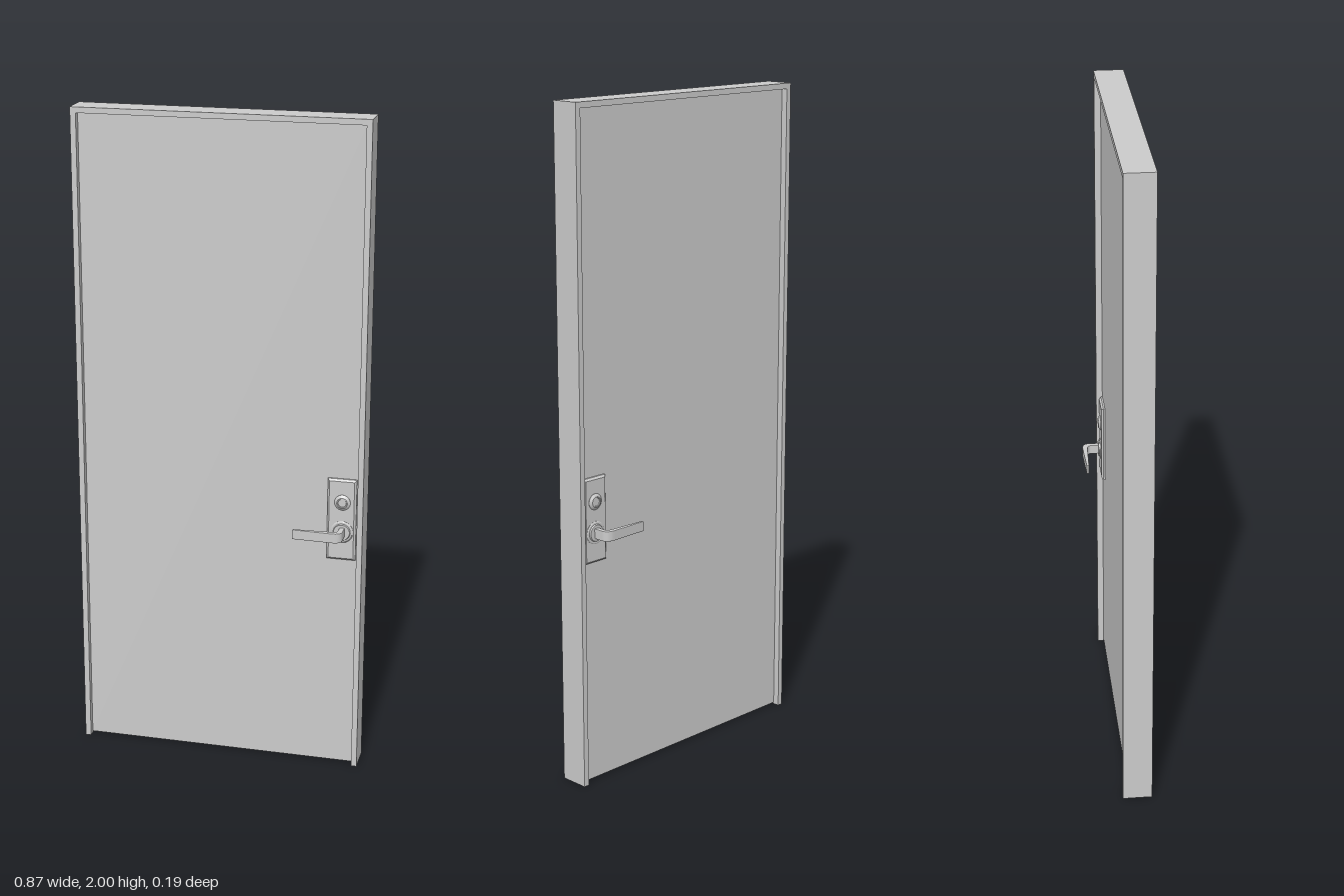
import * as THREE from 'three';

const material = new THREE.MeshStandardMaterial({ color: 0xcccccc });
const HALF_W = 0.437, HALF_D = 0.0445, JAMB = 0.017;
const PANEL_Z = 0.025, KNOB_X = 0.374;

function mesh(name, geometry, x = 0, y = 0, z = 0) {
  const m = new THREE.Mesh(geometry, material);
  m.name = name;
  m.position.set(x, y, z);
  return m;
}

// Box given by its lower and upper corners
function block(name, [x0, y0, z0], [x1, y1, z1]) {
  const g = new THREE.BoxGeometry(x1 - x0, y1 - y0, z1 - z0);
  return mesh(name, g, (x0 + x1) / 2, (y0 + y1) / 2, (z0 + z1) / 2);
}

// Round part turned from [radius, depth] pairs, its axis along z, with crisp steps
function turned(points) {
  const g = new THREE.LatheGeometry(points.map(([r, d]) => new THREE.Vector2(r, d)), 32);
  return g.rotateX(Math.PI / 2);
}

// Backing plate with a chamfered rim
function plateGeometry() {
  const w = 0.0375, h = 0.1215;
  const s = new THREE.Shape([[-w, -h], [w, -h], [w, h], [-w, h]].map(p => new THREE.Vector2(...p)));
  return new THREE.ExtrudeGeometry(s, {
    depth: 0.005, bevelEnabled: true, bevelSegments: 1, bevelSize: 0.006, bevelThickness: 0.006,
  });
}

// Bent lever: outline seen from above (x, z), extruded through its height
function leverGeometry() {
  const s = new THREE.Shape();
  s.moveTo(0.383, 0.03);
  s.lineTo(0.383, 0.073);
  s.bezierCurveTo(0.383, 0.087, 0.372, 0.0955, 0.355, 0.0955);
  s.lineTo(0.235, 0.0915);
  s.lineTo(0.235, 0.084);
  s.lineTo(0.352, 0.079);
  s.bezierCurveTo(0.362, 0.079, 0.367, 0.074, 0.367, 0.066);
  s.lineTo(0.367, 0.03);
  const g = new THREE.ExtrudeGeometry(s, {
    depth: 0.026, curveSegments: 10, bevelEnabled: true, bevelSegments: 2,
    bevelSize: 0.002, bevelOffset: -0.002, bevelThickness: 0.002,
  });
  return g.translate(0, 0, -0.013).rotateX(Math.PI / 2).scale(1, 1, 1);
}

// Lock set for one face; every part is symmetric in height, so a half turn makes the other face
function lockSet(name, back) {
  const set = new THREE.Group();
  set.name = name;
  const plate = mesh('lockPlate', plateGeometry(), 0.3715, 0.808, 0);
  const rose = mesh('leverRose', turned([
    [0.034, 0.03], [0.034, 0.037], [0.031, 0.039], [0.026, 0.039],
    [0.024, 0.043], [0.018, 0.043], [0, 0.043],
  ]), KNOB_X, 0.771);
  const lock = mesh('lockCylinder', turned([
    [0.024, 0.03], [0.024, 0.037], [0.016, 0.043], [0.013, 0.043], [0.012, 0.041], [0, 0.041],
  ]), KNOB_X, 0.864);
  const lever = mesh('lever', leverGeometry(), 0, 0.771);
  // The outline's second axis points down after rotation about x, so turn the lever to face outward
  const side = back ? -1 : 1;
  plate.position.z = side * PANEL_Z;
  for (const part of [plate, rose, lock, lever]) {
    if (back) part.rotation.x = Math.PI;
    part.material = part.material.clone();
    if (part === rose || part === lock) part.material.flatShading = true;
    set.add(part);
  }
  return set;
}

export function createModel() {
  const door = new THREE.Group();
  door.name = 'door';

  // Frame: two jambs under a full-width header
  const inner = HALF_W - JAMB, top = 2 - JAMB;
  door.add(
    block('rightJamb', [-HALF_W, 0, -HALF_D], [-inner, top, HALF_D]),
    block('leftJamb', [inner, 0, -HALF_D], [HALF_W, top, HALF_D]),
    block('header', [-HALF_W, top, -HALF_D], [HALF_W, 2, HALF_D]),
  );

  // Door leaf, set back from both faces of the frame and clear of the floor
  door.add(block('doorLeaf', [-inner, 0.005, -PANEL_Z], [inner, top, PANEL_Z]));

  door.add(lockSet('frontLockSet', false), lockSet('backLockSet', true));
  return door;
}
